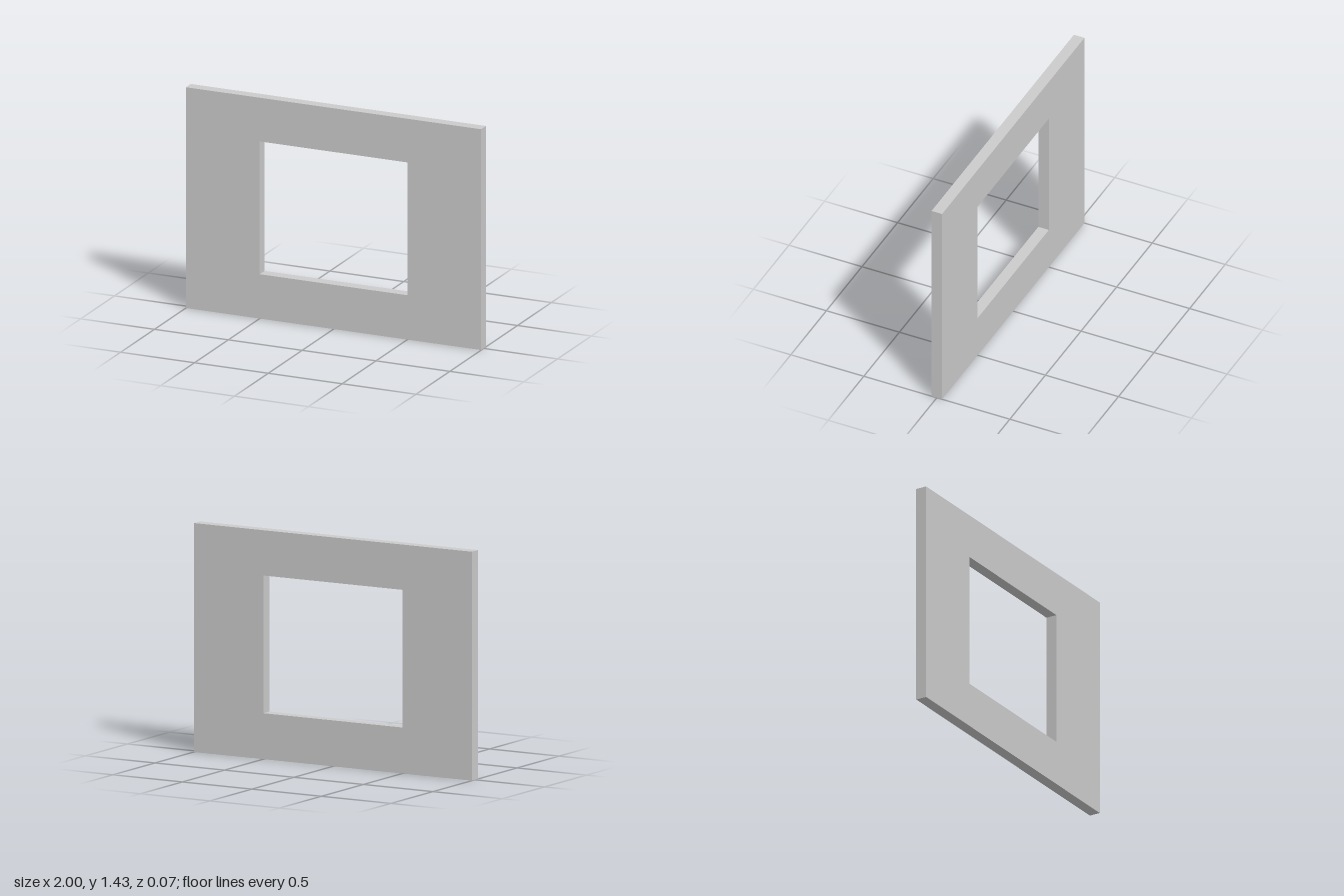
import * as THREE from 'three';

const WIDTH = 2, HEIGHT = 1.43, DEPTH = 0.072;
const OPENING = { left: -0.5, right: 0.5, bottom: 0.287, top: 1.147 };

// Adds a closed rectangle to a shape or path
function rectangle(path, x0, y0, x1, y1) {
  path.moveTo(x0, y0);
  path.lineTo(x1, y0);
  path.lineTo(x1, y1);
  path.lineTo(x0, y1);
  path.closePath();
  return path;
}

export function createModel() {
  const group = new THREE.Group();
  group.name = 'wallWithWindowOpening';

  // Wall panel with a rectangular window opening
  const outline = rectangle(new THREE.Shape(), -WIDTH / 2, 0, WIDTH / 2, HEIGHT);
  outline.holes.push(rectangle(new THREE.Path(), OPENING.left, OPENING.bottom, OPENING.right, OPENING.top));

  const geometry = new THREE.ExtrudeGeometry(outline, { depth: DEPTH, bevelEnabled: false });
  geometry.translate(0, 0, -DEPTH / 2);

  const wall = new THREE.Mesh(geometry, new THREE.MeshStandardMaterial({ color: 0xcccccc }));
  wall.name = 'wallPanel';
  group.add(wall);

  return group;
}
